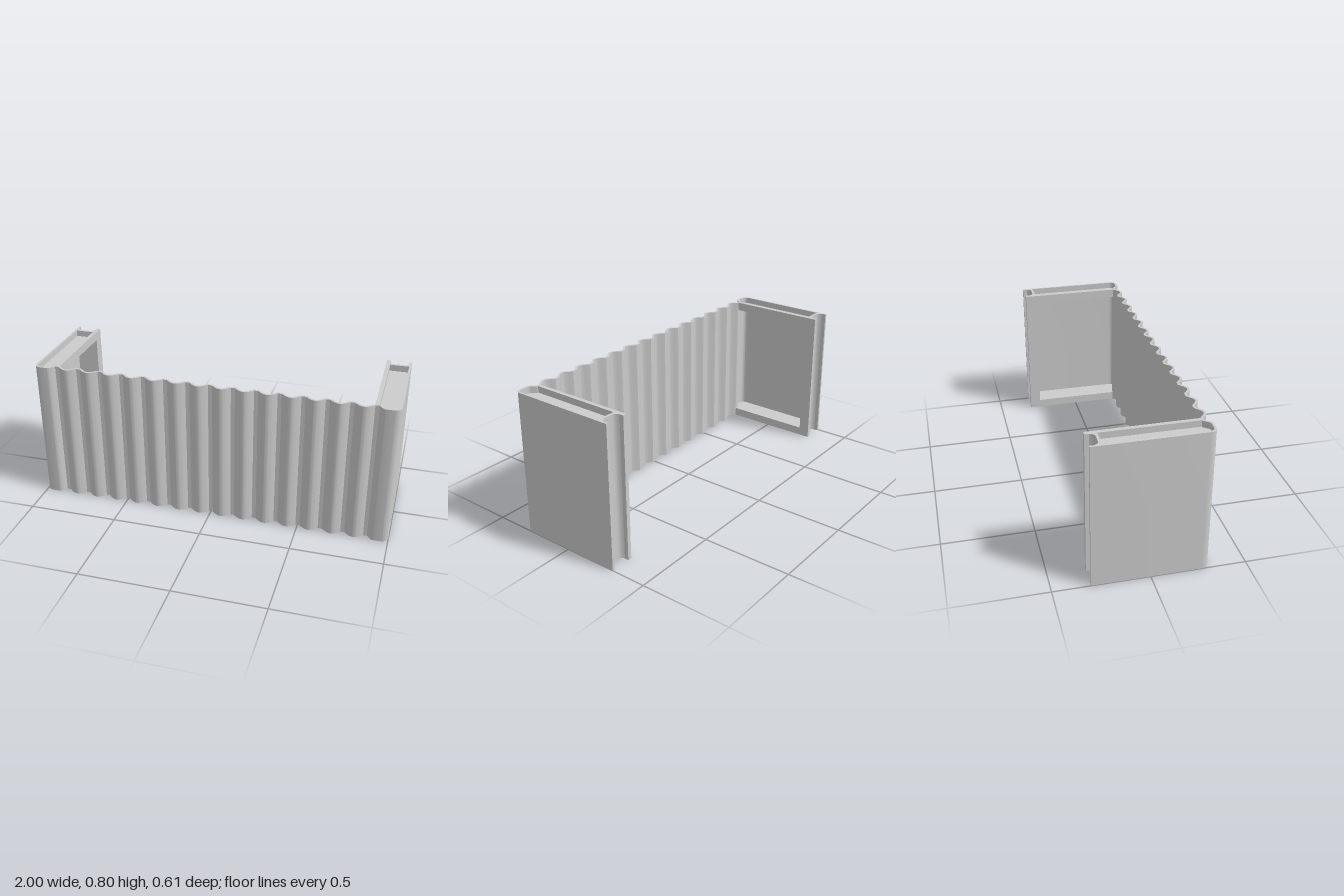
import * as THREE from 'three';
import { toCreasedNormals } from 'three/addons/utils/BufferGeometryUtils.js';

const H = 0.795, BACK = -0.305, T = 0.012;
const LIP_IN = 0.863, LIP_OUT = 0.885;   // inner flange, in x
const RECESS = 0.035, WEB = 0.014;       // depth and thickness of the grooved edges
const VALLEY = 0.273, FRONT = 0.305, PITCH = 0.125;

const material = new THREE.MeshStandardMaterial({ color: 0xcccccc, side: THREE.DoubleSide });

function addMesh(parent, name, geometry) {
  const mesh = new THREE.Mesh(toCreasedNormals(geometry, 0.5), material);
  mesh.name = name;
  parent.add(mesh);
  return mesh;
}

// Extrudes an outline of [x, z] points upwards from y0 to y1
function upright(points, y0, y1) {
  const shape = new THREE.Shape(points.map(([x, z]) => new THREE.Vector2(x, -z)));
  const g = new THREE.ExtrudeGeometry(shape, { depth: y1 - y0, bevelEnabled: false });
  return g.rotateX(-Math.PI / 2).translate(0, y0, 0);
}

// Right-hand half of the outer line: flutes, rounded corner, then the flat side
function halfProfile() {
  const pts = [];
  const rise = (d, span) => VALLEY + (FRONT - VALLEY) * Math.sin((Math.PI / 2) * d / span);
  const flat = 0.011, span = PITCH / 2 - flat, n = 8;
  for (let k = 0; k < 7; k++) {
    const x0 = k * PITCH;
    if (k === 0) pts.push([0, VALLEY]);
    else pts.push([x0 - flat, VALLEY]);
    for (let i = 0; i <= n; i++) pts.push([x0 + flat + span * i / n, rise(i, n)]);
    for (let i = n - 1; i > 0; i--) pts.push([x0 + PITCH - flat - span * i / n, rise(i, n)]);
  }
  // Wider end flute
  pts.push([0.875 - flat, VALLEY]);
  for (let i = 0; i <= n; i++) pts.push([0.875 + flat + 0.035 * i / n, rise(i, n)]);
  for (let i = 0; i <= 10; i++) {
    const a = (Math.PI / 2) * (1 - i / 10);
    pts.push([0.962 + 0.038 * Math.cos(a), 0.267 + 0.038 * Math.sin(a)]);
  }
  pts.push([1, BACK]);
  return pts;
}

// Closed outline of the sheet: the outer line plus its inward offset
function sheetOutline() {
  const half = halfProfile();
  const outer = [...half.slice(1).reverse().map(([x, z]) => [-x, z]), ...half];
  const inner = outer.map(([x, z], i) => {
    const a = outer[Math.max(i - 1, 0)], b = outer[Math.min(i + 1, outer.length - 1)];
    const dx = b[0] - a[0], dz = b[1] - a[1], l = Math.hypot(dx, dz);
    return [x + T * dz / l, z - T * dx / l];
  });
  return [...outer, ...inner.reverse()];
}

// Concave back edge between the inner flange and the side
const cove = [[0.884, -0.284], [0.889, -0.272], [0.897, -0.262], [0.908, -0.257],
  [0.965, -0.257], [0.976, -0.262], [0.984, -0.272], [0.989, -0.284]];

function endReturn(side) {
  const group = new THREE.Group();
  group.name = side > 0 ? 'leftReturn' : 'rightReturn';
  const mirror = (pts) => pts.map(([x, z]) => [side * x, z]);

  // Grooved top and bottom plates
  const plate = mirror([...cove, [0.989, 0.265], [0.98, 0.285], [0.962, 0.294],
    [0.918, 0.296], [0.9, 0.286], [0.88, 0.265]]);
  addMesh(group, 'bottomPlate', upright(plate, RECESS, RECESS + WEB));
  addMesh(group, 'topPlate', upright(plate, H - RECESS - WEB, H - RECESS));

  // Coved back web
  const web = mirror([...cove, [0.989, -0.243], [0.884, -0.243]]);
  addMesh(group, 'backWeb', upright(web, 0, H));

  // Inner flange, running along the bottom, back and top edges
  const w = RECESS + WEB, zf = 0.268, zb = BACK + 0.062;
  const flange = new THREE.Shape([[zf, 0], [BACK, 0], [BACK, H], [zf, H], [zf, H - w],
    [zb, H - w], [zb, w], [zf, w]].map(([z, y]) => new THREE.Vector2(-z, y)));
  const g = new THREE.ExtrudeGeometry(flange, { depth: LIP_OUT - LIP_IN, bevelEnabled: false });
  g.rotateY(Math.PI / 2).translate(side > 0 ? LIP_IN : -LIP_OUT, 0, 0);
  addMesh(group, 'innerFlange', g);
  return group;
}

export function createModel() {
  const model = new THREE.Group();
  model.name = 'flutedPanel';
  addMesh(model, 'flutedSheet', upright(sheetOutline(), 0, H));
  for (const side of [-1, 1]) model.add(endReturn(side));
  return model;
}
